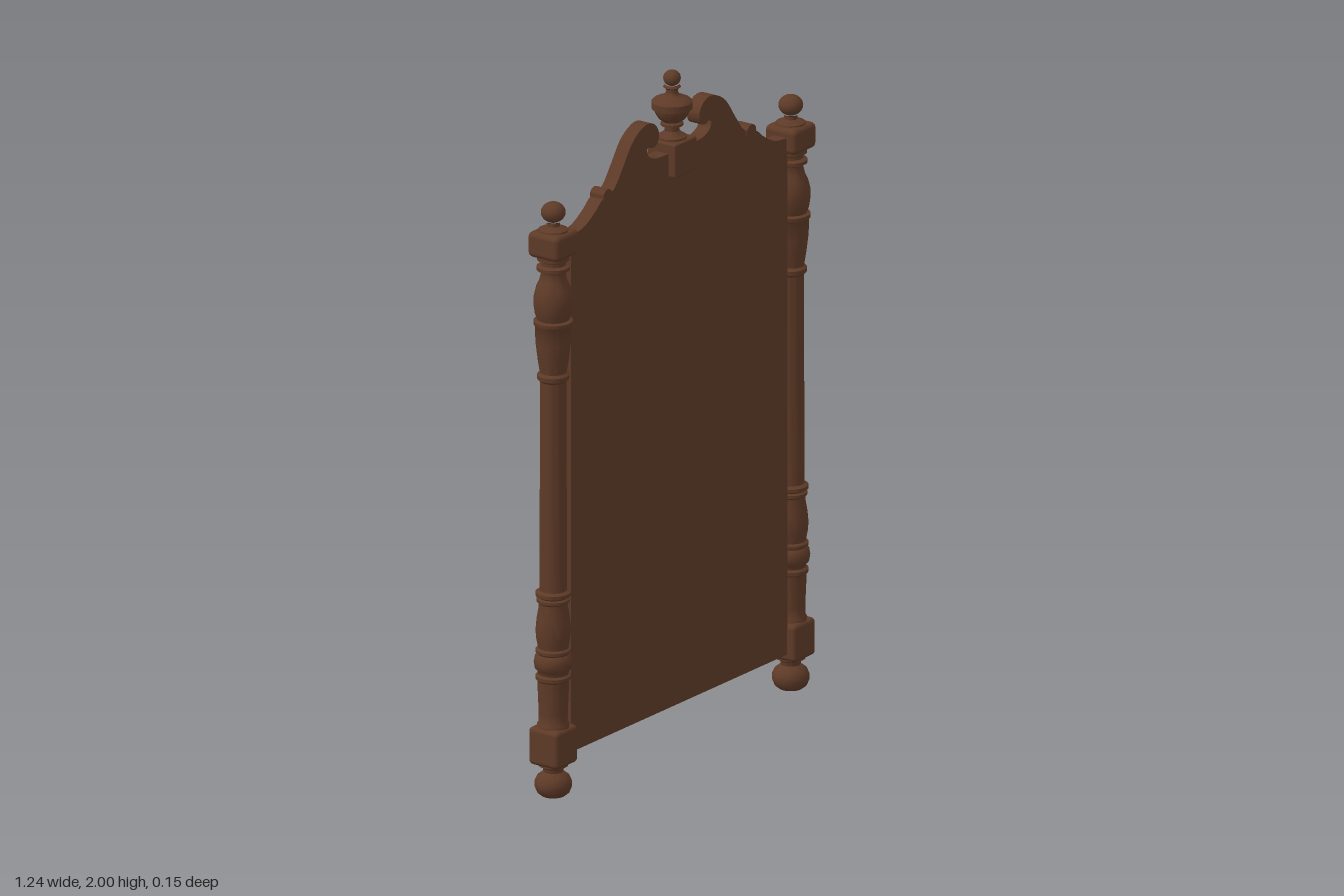
import * as THREE from 'three';
import { toCreasedNormals } from 'three/addons/utils/BufferGeometryUtils.js';
import { RoundedBoxGeometry } from 'three/addons/geometries/RoundedBoxGeometry.js';

const wood = new THREE.MeshStandardMaterial({ color: 0x5e3a27 });
wood.name = 'walnut wood';
const glass = new THREE.MeshStandardMaterial({ color: 0x8e7164 });
glass.name = 'mirror glass';

const AXIS_Z = 0.018; // depth of the posts and the urn

function part(name, geometry, material, x = 0, y = 0, z = 0) {
  const mesh = new THREE.Mesh(geometry, material);
  mesh.name = name;
  mesh.position.set(x, y, z);
  return mesh;
}

// Turned piece from [radius, height] pairs
function turned(profile) {
  const points = profile.map(([r, y]) => new THREE.Vector2(r, y));
  return toCreasedNormals(new THREE.LatheGeometry(points, 28), 0.7);
}

function ball(radius, height) {
  return new THREE.SphereGeometry(radius, 24, 14).scale(1, height / (2 * radius), 1);
}

function createPost(side) {
  const post = new THREE.Group();
  post.name = side > 0 ? 'leftPost' : 'rightPost';
  post.position.set(side * 0.565, 0, AXIS_Z);

  post.add(part('foot', turned([
    [0, 0], [0.034, 0.003], [0.046, 0.013], [0.053, 0.03], [0.053, 0.044], [0.046, 0.06],
    [0.034, 0.069], [0.028, 0.074], [0.03, 0.085], [0.042, 0.092], [0.042, 0.105],
  ]), wood));
  post.add(part('lowerBlock', new RoundedBoxGeometry(0.104, 0.112, 0.104, 3, 0.014), wood, 0, 0.153));

  // Long turned column between the two blocks
  post.add(part('column', turned([
    [0.046, 0.2], [0.046, 0.215], [0.041, 0.222], [0.041, 0.25], [0.045, 0.345], [0.05, 0.35],
    [0.05, 0.36], [0.043, 0.365], [0.045, 0.375], [0.052, 0.382], [0.055, 0.4], [0.052, 0.418],
    [0.045, 0.425], [0.05, 0.43], [0.05, 0.438], [0.043, 0.443], [0.048, 0.47], [0.05, 0.495],
    [0.047, 0.53], [0.041, 0.565], [0.041, 0.575], [0.047, 0.58], [0.047, 0.588], [0.041, 0.592],
    [0.05, 0.598], [0.05, 0.608], [0.039, 0.614], [0.038, 0.9], [0.037, 1.235], [0.045, 1.242],
    [0.046, 1.255], [0.038, 1.262], [0.044, 1.3], [0.05, 1.35], [0.052, 1.4], [0.056, 1.405],
    [0.056, 1.416], [0.046, 1.42], [0.052, 1.437], [0.056, 1.465], [0.055, 1.49], [0.049, 1.515],
    [0.04, 1.535], [0.035, 1.555], [0.036, 1.562], [0.047, 1.567], [0.047, 1.577], [0.036, 1.582],
    [0.036, 1.592], [0.046, 1.597], [0.046, 1.62],
  ]), wood));

  post.add(part('upperBlock', new RoundedBoxGeometry(0.108, 0.076, 0.108, 3, 0.016), wood, 0, 1.645));
  post.add(part('finialNeck', turned([
    [0.044, 1.675], [0.042, 1.687], [0.03, 1.692], [0.019, 1.697], [0.018, 1.707], [0.026, 1.712],
  ]), wood));
  post.add(part('finialBall', ball(0.035, 0.06), wood, 0, 1.737));
  return post;
}

// Backboard with a broken scroll pediment along its top
function backboardGeometry() {
  const crest = new THREE.SplineCurve([
    [0.515, 1.657], [0.455, 1.665], [0.4, 1.695], [0.365, 1.722], [0.312, 1.737], [0.27, 1.787],
    [0.228, 1.845], [0.19, 1.874], [0.15, 1.886], [0.115, 1.875], [0.096, 1.846], [0.103, 1.817],
    [0.126, 1.808], [0.143, 1.819], [0.153, 1.808], [0.142, 1.786], [0.105, 1.772], [0.04, 1.77],
  ].map(([x, y]) => new THREE.Vector2(x, y))).getPoints(90);
  const mirrored = crest.map((p) => new THREE.Vector2(-p.x, p.y)).reverse();
  const shape = new THREE.Shape([
    new THREE.Vector2(-0.515, 0.12), new THREE.Vector2(0.515, 0.12), ...crest, ...mirrored,
  ]);
  return toCreasedNormals(
    new THREE.ExtrudeGeometry(shape, { depth: 0.043, bevelEnabled: false }), 0.6);
}

// Stepped moulding lofted through rectangles [half width, bottom, top, z]
function mouldingGeometry(sections) {
  const positions = [];
  const corners = ([w, b, t, z]) => [[-w, b, z], [w, b, z], [w, t, z], [-w, t, z]];
  const quad = (a, b, c, d) => positions.push(...a, ...b, ...c, ...a, ...c, ...d);
  for (let i = 0; i < sections.length - 1; i++) {
    const front = corners(sections[i]);
    const back = corners(sections[i + 1]);
    for (let k = 0; k < 4; k++) {
      const n = (k + 1) % 4;
      quad(back[k], back[n], front[n], front[k]);
    }
  }
  const [a, b, c, d] = corners(sections[sections.length - 1]);
  quad(d, c, b, a); // closing face at the rear
  const geometry = new THREE.BufferGeometry();
  geometry.setAttribute('position', new THREE.Float32BufferAttribute(positions, 3));
  geometry.computeVertexNormals();
  return geometry;
}

function createUrn() {
  const urn = new THREE.Group();
  urn.name = 'urnFinial';
  urn.position.z = AXIS_Z;
  urn.add(part('urnBlock', new RoundedBoxGeometry(0.104, 0.1, 0.1, 2, 0.006), wood, 0, 1.75));
  urn.add(part('urnBowl', turned([
    [0.042, 1.795], [0.042, 1.806], [0.03, 1.812], [0.021, 1.822], [0.021, 1.834], [0.032, 1.838],
    [0.032, 1.845], [0.026, 1.849], [0.038, 1.858], [0.048, 1.874], [0.051, 1.885], [0.058, 1.888],
    [0.058, 1.908], [0.052, 1.914], [0.036, 1.921], [0.022, 1.927], [0.017, 1.936], [0.018, 1.946],
    [0.025, 1.951], [0.02, 1.958],
  ]), wood));
  urn.add(part('urnTip', ball(0.025, 0.046), wood, 0, 1.977));
  return urn;
}

export function createModel() {
  const model = new THREE.Group();
  model.name = 'dresserMirror';

  model.add(part('backboard', backboardGeometry(), wood));
  model.add(part('rearMoulding', mouldingGeometry([
    [0.507, 0.13, 1.65, 0.002], [0.507, 0.13, 1.65, -0.008], [0.502, 0.145, 1.637, -0.018],
    [0.494, 0.165, 1.62, -0.034], [0.488, 0.18, 1.612, -0.045], [0.488, 0.18, 1.612, -0.064],
    [0.481, 0.187, 1.605, -0.073],
  ]), wood));
  model.add(part('mirrorGlass', new THREE.BoxGeometry(0.958, 1.414, 0.003), glass, 0, 0.896, -0.0735));

  for (const side of [1, -1]) {
    model.add(createPost(side));
    // Small rosette where the scroll meets the shoulder
    const rosette = new THREE.CylinderGeometry(0.022, 0.022, 0.047, 20).rotateX(Math.PI / 2);
    model.add(part('rosette', toCreasedNormals(rosette, 0.7), wood, side * 0.342, 1.725, 0.0215));
  }
  model.add(createUrn());
  return model;
}
